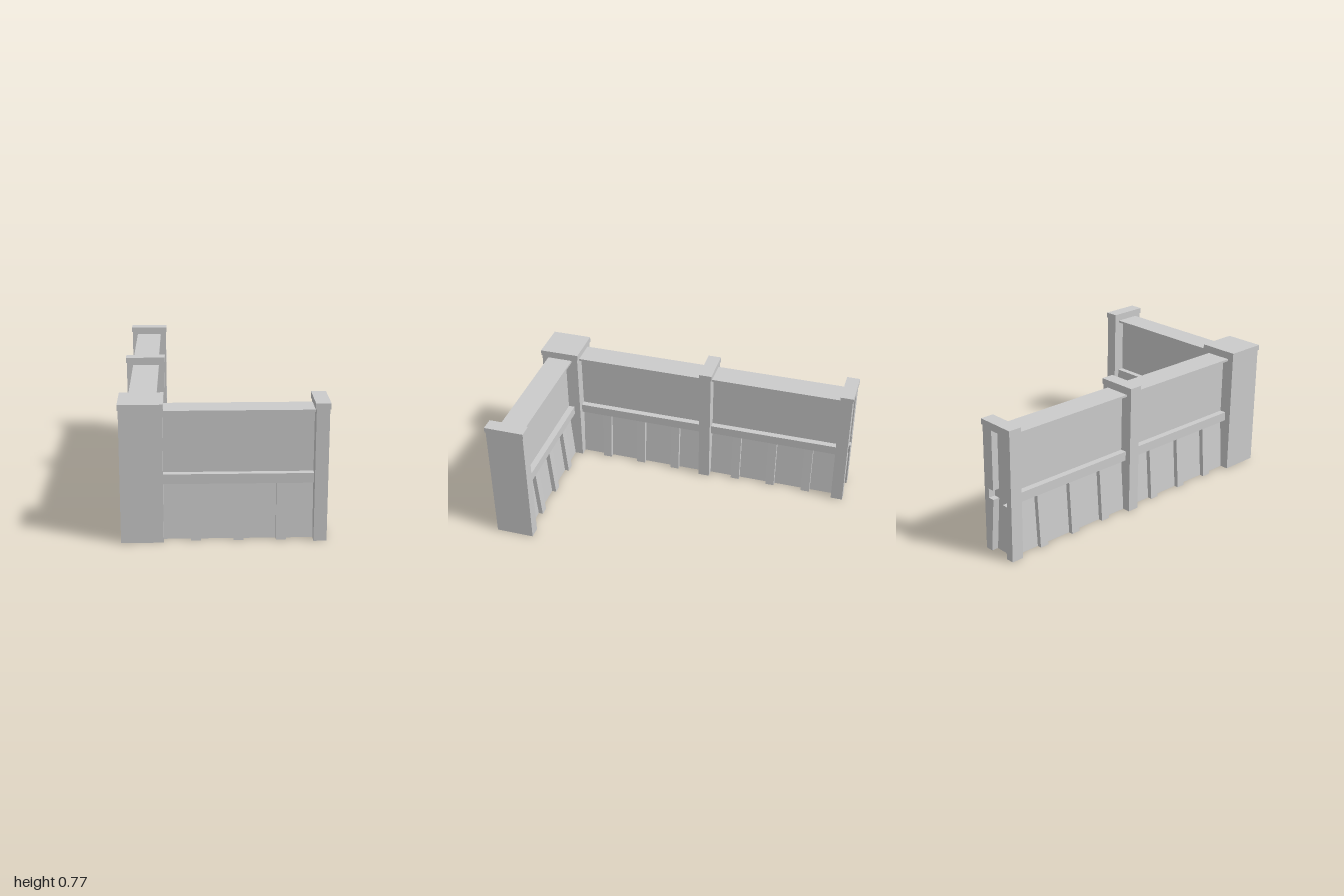
import * as THREE from 'three';

const material = new THREE.MeshStandardMaterial({ color: 0xcccccc, flatShading: true, side: THREE.DoubleSide });

function addMesh(parent, name, geometry) {
  const mesh = new THREE.Mesh(geometry, material);
  mesh.name = name;
  parent.add(mesh);
  return mesh;
}

// Drops the faces lying on the ground, so the part is a shell open below
function openBottom(geometry) {
  const g = geometry.index ? geometry.toNonIndexed() : geometry;
  const p = g.attributes.position;
  const kept = [];
  for (let i = 0; i < p.count; i += 3) {
    if ([0, 1, 2].every((k) => Math.abs(p.getY(i + k)) < 1e-4)) continue;
    for (let k = 0; k < 3; k++) kept.push(p.getX(i + k), p.getY(i + k), p.getZ(i + k));
  }
  const open = new THREE.BufferGeometry();
  open.setAttribute('position', new THREE.Float32BufferAttribute(kept, 3));
  open.computeVertexNormals();
  return open;
}

// Box given by its limits
function box(x0, x1, y0, y1, z0, z1) {
  return new THREE.BoxGeometry(x1 - x0, y1 - y0, z1 - z0)
    .translate((x0 + x1) / 2, (y0 + y1) / 2, (z0 + z1) / 2);
}

// Extrudes an outline in x, y from z0 to z1
function prism(points, z0, z1) {
  const shape = new THREE.Shape(points.map(([x, y]) => new THREE.Vector2(x, y)));
  return new THREE.ExtrudeGeometry(shape, { depth: z1 - z0, bevelEnabled: false }).translate(0, 0, z0);
}

// Right half of a section, mirrored into a closed outline
function mirrored(half) {
  return [...half, ...half.map(([x, y]) => [-x, y]).reverse()];
}

const PANEL = 0.04, FOOT = 0.065, RAIL = 0.078;
const RAIL_Y0 = 0.32, RAIL_Y1 = 0.375, COPING_Y0 = 0.715, COPING_Y1 = 0.728;

// Wall section running along its own z axis
function createWall(name, z0, z1, studs) {
  const wall = new THREE.Group();
  wall.name = name;
  addMesh(wall, 'panel', openBottom(prism(
    mirrored([[FOOT, 0], [PANEL, RAIL_Y0], [PANEL, COPING_Y0]]), z0, z1)));
  addMesh(wall, 'rail', box(-RAIL, RAIL, RAIL_Y0, RAIL_Y1, z0, z1));
  addMesh(wall, 'coping', box(-RAIL, RAIL, COPING_Y0, COPING_Y1, z0, z1));
  // Leaning studs on both faces
  for (const s of [-1, 1]) {
    for (const z of studs) {
      addMesh(wall, 'stud', openBottom(prism([
        [s * FOOT, 0], [s * 0.092, 0], [s * 0.066, RAIL_Y0], [s * PANEL, RAIL_Y0],
      ], z - 0.027, z + 0.027)));
    }
  }
  return wall;
}

// Post with a slightly wider cap
function createPost(name, x0, x1, z0, z1) {
  const post = new THREE.Group();
  post.name = name;
  const m = 0.005;
  addMesh(post, 'shaft', openBottom(box(x0, x1, 0, 0.742, z0, z1)));
  addMesh(post, 'cap', box(x0 - m, x1 + m, 0.742, 0.775, z0 - m, z1 + m));
  return post;
}

export function createModel() {
  const model = new THREE.Group();
  model.name = 'cornerWall';

  // Long side, in two sections
  const backWall = createWall('backWall', -0.955, -0.08, [-0.75, -0.517, -0.285]);
  backWall.position.x = -0.443;
  const middleWall = createWall('middleWall', -0.08, 0.78, [0.125, 0.357, 0.59]);
  middleWall.position.x = -0.439;

  // Short side, turned to run along x
  const frontWall = createWall('frontWall', -0.34, 0.52, [-0.15, 0.08, 0.31]);
  frontWall.rotation.y = Math.PI / 2;
  frontWall.position.z = 0.877;
  model.add(backWall, middleWall, frontWall);

  // Plain posts
  model.add(
    createPost('cornerPost', -0.555, -0.325, 0.76, 0.995),
    createPost('middlePost', -0.555, -0.33, -0.115, -0.045),
    createPost('frontEndPost', 0.484, 0.555, 0.765, 0.995),
  );

  // Back end post with a slot shaped like the wall section
  const endPost = new THREE.Group();
  endPost.name = 'backEndPost';
  const slot = [[FOOT, 0], [PANEL, RAIL_Y0], [RAIL, RAIL_Y0], [RAIL, RAIL_Y1], [PANEL, RAIL_Y1], [PANEL, COPING_Y1]];
  addMesh(endPost, 'shaft', openBottom(prism(
    [[-0.1125, 0], ...slot.map(([x, y]) => [-x, y]), ...[...slot].reverse(),
      [0.1125, 0], [0.1125, 0.742], [-0.1125, 0.742]], -0.995, -0.922)));
  addMesh(endPost, 'cap', box(-0.1175, 0.1175, 0.742, 0.775, -1, -0.92));
  endPost.position.x = -0.4425;
  model.add(endPost);

  return model;
}
